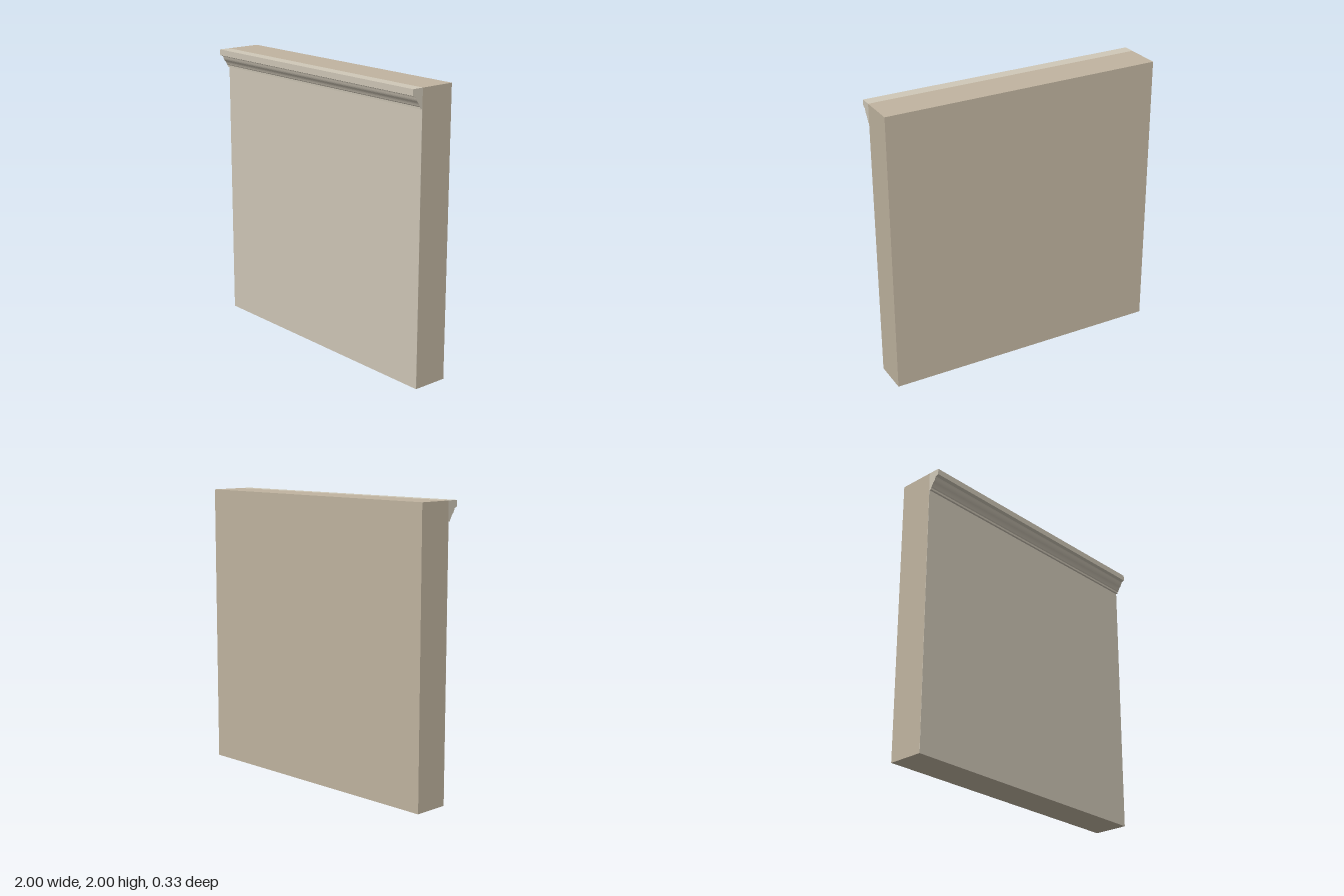
import * as THREE from 'three';

export function createModel() {
  const model = new THREE.Group();
  const wallMat = new THREE.MeshStandardMaterial({ color: 0xc0b4a0 });
  const paintMat = new THREE.MeshStandardMaterial({ color: 0xd0c8b8 });

  const back = -0.167, face = 0.087, skin = 0.002;

  function block(name, z0, z1, material) {
    const mesh = new THREE.Mesh(new THREE.BoxGeometry(2, 2, z1 - z0), material);
    mesh.position.set(0, 1, (z0 + z1) / 2);
    mesh.name = name;
    model.add(mesh);
  }

  // Solid wall with a thin painted front
  block('wall', back, face - skin, wallMat);
  block('frontFinish', face - skin, face, paintMat);

  // Crown moulding profile: shape x is depth (z), shape y is height
  const profile = new THREE.Shape();
  profile.moveTo(face, 1.867);
  profile.lineTo(face, 2);
  profile.lineTo(0.167, 2);
  profile.lineTo(0.167, 1.958);
  profile.lineTo(0.145, 1.95);
  profile.lineTo(0.142, 1.943);
  profile.quadraticCurveTo(0.136, 1.922, 0.125, 1.913);
  profile.quadraticCurveTo(0.116, 1.904, 0.109, 1.886);
  profile.lineTo(0.103, 1.88);
  profile.lineTo(0.102, 1.867);
  profile.closePath();

  // Extrude along the wall and turn so that shape x points to +z
  const geometry = new THREE.ExtrudeGeometry(profile, { depth: 2, bevelEnabled: false, curveSegments: 5 });
  geometry.translate(0, 0, -1);
  geometry.rotateY(-Math.PI / 2);
  const moulding = new THREE.Mesh(geometry, paintMat);
  moulding.name = 'crownMoulding';
  model.add(moulding);

  return model;
}
